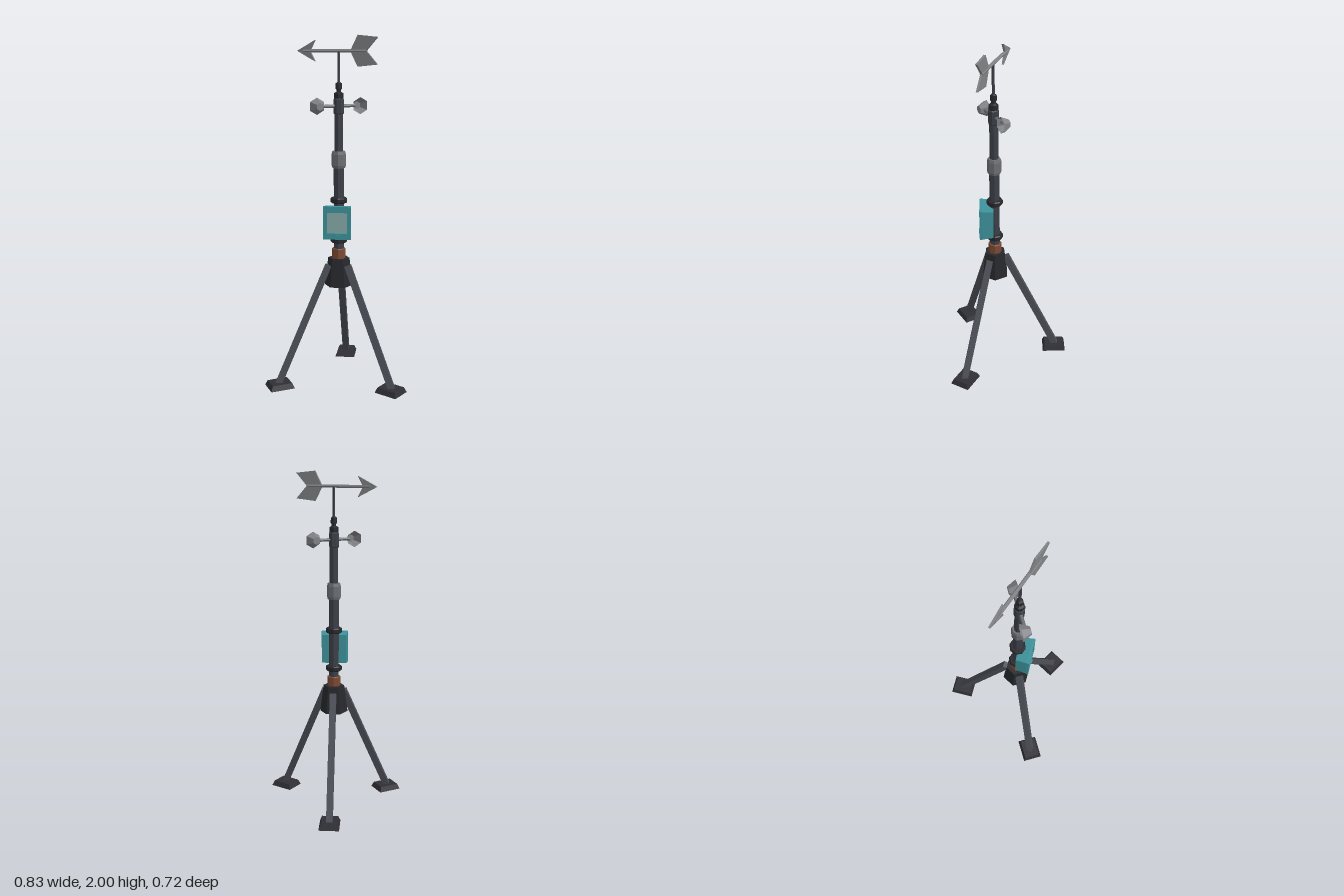
import * as THREE from 'three';

const mat = (color, side = THREE.FrontSide) =>
  new THREE.MeshStandardMaterial({ color, flatShading: true, side });

const M = {
  pole: mat(0x3c4048), leg: mat(0x4a4d55), dark: mat(0x27282c), foot: mat(0x302f35),
  sleeve: mat(0x6c6f73), copper: mat(0x7d4a33), vane: mat(0x828386),
  cup: mat(0x828386, THREE.DoubleSide), teal: mat(0x3d929b), screen: mat(0x85a9a8),
};

function add(parent, name, geometry, material, x = 0, y = 0, z = 0) {
  const mesh = new THREE.Mesh(geometry, material);
  mesh.name = name;
  mesh.position.set(x, y, z);
  parent.add(mesh);
  return mesh;
}

// Turned part from [radius, height] pairs, bottom to top
const turned = (points, sides = 8) =>
  new THREE.LatheGeometry(points.map(([r, y]) => new THREE.Vector2(r, y)), sides);

// Closed collar with small chamfers
const collar = (r, y0, y1, c = 0.006) =>
  turned([[0, y0], [r - c, y0], [r, y0 + c], [r, y1 - c], [r - c, y1], [0, y1]]);

// Box whose positive end along one axis is scaled by a factor per other axis
function taperedBox(w, h, d, axis, scale) {
  const g = new THREE.BoxGeometry(w, h, d);
  const p = g.attributes.position;
  const v = new THREE.Vector3();
  for (let i = 0; i < p.count; i++) {
    v.fromBufferAttribute(p, i);
    if (v[axis] > 0) v.multiply(scale);
    p.setXYZ(i, v.x, v.y, v.z);
  }
  g.computeVertexNormals();
  return g;
}

function polygon(points) {
  return new THREE.Shape(points.map(([x, y]) => new THREE.Vector2(x, y)));
}

function plate(points, thickness) {
  return new THREE.ExtrudeGeometry(polygon(points), { depth: thickness, bevelEnabled: false })
    .translate(0, 0, -thickness / 2);
}

function buildTripod(root) {
  const tripod = new THREE.Group();
  tripod.name = 'tripod';
  root.add(tripod);
  add(tripod, 'tripodHub', new THREE.CylinderGeometry(0.062, 0.083, 0.163, 6).rotateY(Math.PI / 6),
    M.dark, 0, 0.657, 0);

  const up = new THREE.Vector3(0, 1, 0);
  for (let i = 0; i < 3; i++) {
    const a = Math.PI + (i * Math.PI * 2) / 3;
    const at = (r, y) => new THREE.Vector3(Math.sin(a) * r, y, Math.cos(a) * r);
    const bottom = at(0.381, 0.016), top = at(0.064, 0.7);
    const dir = top.clone().sub(bottom);
    const leg = add(tripod, 'leg', new THREE.BoxGeometry(0.038, dir.length(), 0.038), M.leg);
    leg.position.copy(bottom).add(top).multiplyScalar(0.5);
    leg.quaternion.setFromUnitVectors(up, dir.normalize());

    const foot = add(tripod, 'foot',
      taperedBox(0.119, 0.03, 0.142, 'y', new THREE.Vector3(0.8, 1, 0.83)), M.foot);
    foot.position.copy(at(0.372, 0.015));
    foot.rotation.y = a;
  }
}

function buildMast(root) {
  const mast = new THREE.Group();
  mast.name = 'mast';
  root.add(mast);
  add(mast, 'lowerPole', new THREE.CylinderGeometry(0.029, 0.029, 0.6, 8), M.pole, 0, 1.0, 0);
  add(mast, 'upperPole', new THREE.CylinderGeometry(0.025, 0.025, 0.36, 8), M.pole, 0, 1.48, 0);
  add(mast, 'copperCollar', collar(0.04, 0.735, 0.796, 0.003), M.copper);
  add(mast, 'lowerClamp', collar(0.048, 0.83, 0.862), M.dark);
  add(mast, 'upperClamp', collar(0.048, 1.062, 1.094), M.dark);
  add(mast, 'sleeve', turned([[0, 1.264], [0.036, 1.264], [0.041, 1.28], [0.041, 1.342],
    [0.036, 1.36], [0, 1.36]]), M.sleeve);
  add(mast, 'mastCap', turned([[0.026, 1.65], [0.026, 1.684], [0.013, 1.692], [0.013, 1.704],
    [0.019, 1.707], [0.018, 1.738], [0.008, 1.745], [0, 1.745]]), M.dark);
  add(mast, 'spindle', new THREE.CylinderGeometry(0.008, 0.008, 0.185, 6), M.pole, 0, 1.827, 0);
}

function buildControlBox(root) {
  const box = new THREE.Group();
  box.name = 'controlBox';
  root.add(box);
  // Housing, slightly larger towards the front
  add(box, 'housing', taperedBox(0.145, 0.172, 0.067, 'z', new THREE.Vector3(1.085, 1.085, 1)),
    M.teal, 0, 0.96, 0.0405);
  // Raised frame around the display
  const frame = polygon([[-0.079, -0.095], [0.079, -0.095], [0.079, 0.095], [-0.079, 0.095]]);
  frame.holes.push(new THREE.Path([[-0.057, -0.06], [-0.057, 0.06], [0.057, 0.06], [0.057, -0.06]]
    .map(([x, y]) => new THREE.Vector2(x, y))));
  add(box, 'displayFrame', new THREE.ExtrudeGeometry(frame, { depth: 0.015, bevelEnabled: false }),
    M.teal, 0, 0.96, 0.073);
  add(box, 'display', new THREE.BoxGeometry(0.114, 0.12, 0.006), M.screen, 0, 0.96, 0.074);
  add(box, 'latch', new THREE.BoxGeometry(0.026, 0.022, 0.012), M.teal, 0, 0.879, 0.088);
}

function buildWindCups(root) {
  const rotor = new THREE.Group();
  rotor.name = 'windCupRotor';
  rotor.position.y = 1.613;
  rotor.rotation.y = Math.PI / 6;
  root.add(rotor);
  add(rotor, 'rotorHub', collar(0.031, -0.045, 0.043), M.pole);
  const cupGeometry = turned([[0.048, -0.025], [0.023, 0.025], [0, 0.025]], 6).rotateX(-Math.PI / 2);
  for (let i = 0; i < 2; i++) {
    const arm = new THREE.Group();
    arm.name = 'cupArm';
    arm.rotation.y = i * Math.PI;
    rotor.add(arm);
    add(arm, 'arm', new THREE.CylinderGeometry(0.01, 0.01, 0.08, 6).rotateZ(Math.PI / 2),
      M.sleeve, 0.06, 0, 0);
    add(arm, 'cup', cupGeometry, M.cup, 0.121, 0, 0);
  }
}

function buildVane(root) {
  const vane = new THREE.Group();
  vane.name = 'windVane';
  vane.position.y = 1.915;
  vane.rotation.y = -Math.PI / 9;
  root.add(vane);
  add(vane, 'vaneRod', new THREE.CylinderGeometry(0.01, 0.01, 0.39, 6).rotateZ(Math.PI / 2),
    M.vane, -0.025, 0, 0);
  add(vane, 'arrowHead', plate([[-0.262, 0], [-0.148, -0.058], [-0.18, 0], [-0.148, 0.058]], 0.012),
    M.vane);
  // Chevron tail from two mirrored fins
  for (const s of [1, -1]) {
    add(vane, 'tailFin', plate([[0.073, 0], [0.169, 0], [0.236, s * 0.073], [0.118, s * 0.085]], 0.012),
      M.vane);
  }
}

export function createModel() {
  const model = new THREE.Group();
  model.name = 'weatherStation';
  // The mast stands forward of centre so the footprint is centred
  const root = new THREE.Group();
  root.name = 'station';
  root.position.z = 0.085;
  model.add(root);
  buildTripod(root);
  buildMast(root);
  buildControlBox(root);
  buildWindCups(root);
  buildVane(root);
  return model;
}
